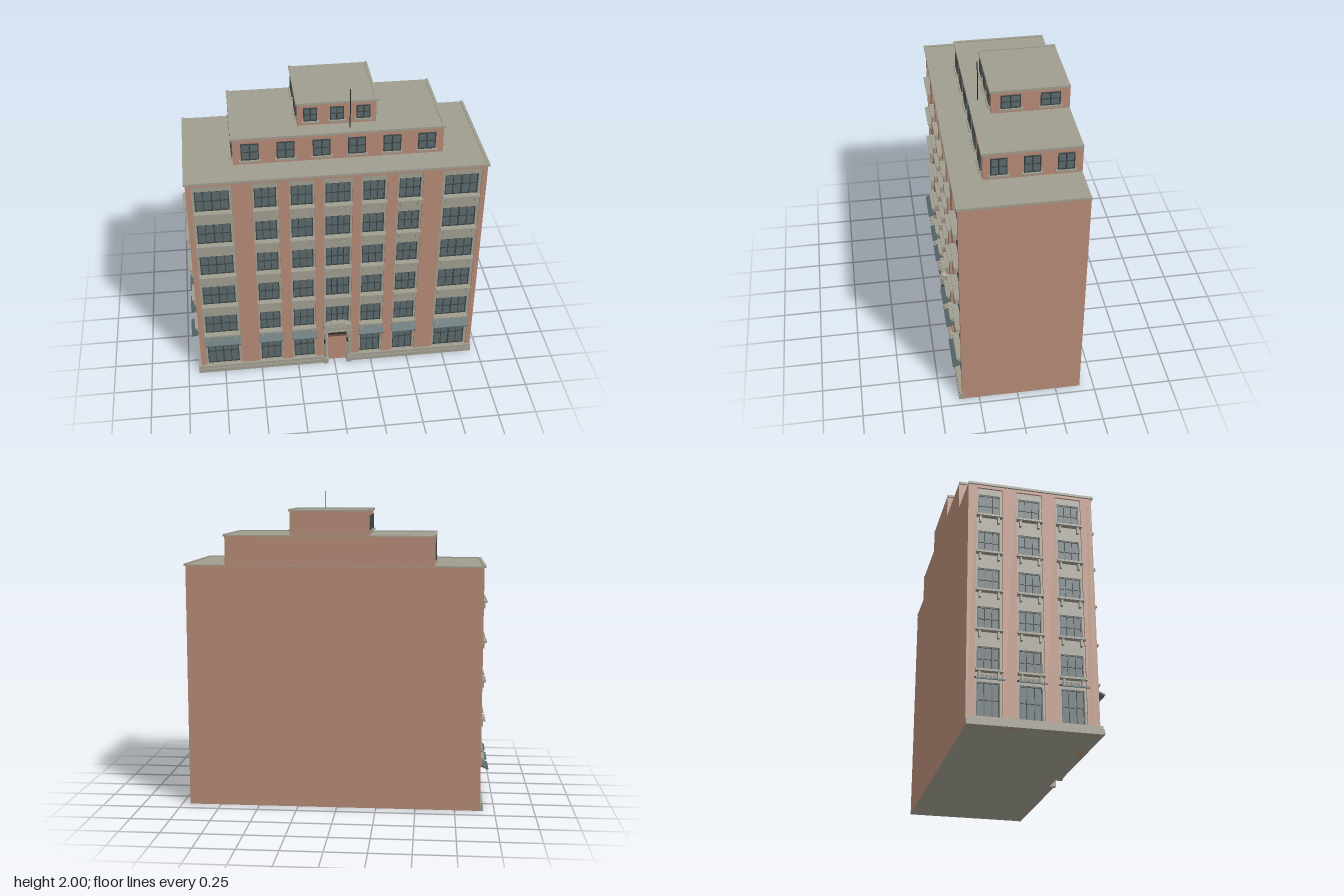
import * as THREE from 'three';

const mat = (name, color) => {
  const m = new THREE.MeshStandardMaterial({ color });
  m.name = name;
  return m;
};

export function createModel() {
  const brick = mat('brick', 0xb48975);
  const stone = mat('stone', 0x9f9c8f);
  const glass = mat('glass', 0x5a686b);
  const frame = mat('window frame', 0x3a4343);
  const awningCloth = mat('awning', 0x56676a);
  const iron = mat('iron', 0x222424);
  const lattice = mat('lattice', 0x6b4a3f);

  const group = (name, parent) => {
    const g = new THREE.Group();
    g.name = name;
    parent.add(g);
    return g;
  };
  const add = (parent, name, geo, material) => {
    const m = new THREE.Mesh(geo, material);
    m.name = name;
    parent.add(m);
    return m;
  };
  // box given by its limits on each axis
  const box = (parent, name, material, x0, x1, y0, y1, z0, z1) => {
    const m = add(parent, name, new THREE.BoxGeometry(x1 - x0, y1 - y0, z1 - z0), material);
    m.position.set((x0 + x1) / 2, (y0 + y1) / 2, (z0 + z1) / 2);
    return m;
  };

  // glazed window with glazing bars; z is the plane it sits on
  function windowUnit(parent, cx, y0, y1, w, z, cols, rows = 2) {
    const g = group('window', parent);
    const x0 = cx - w / 2, x1 = cx + w / 2, t = 0.006;
    box(g, 'pane', glass, x0, x1, y0, y1, z, z + 0.003);
    for (let i = 0; i <= cols; i++) {
      const middle = cols % 2 === 0 && i === cols / 2;
      const b = i === 0 || i === cols ? t : middle ? 0.008 : 0.004;
      const x = Math.min(Math.max(x0 + (w * i) / cols, x0 + b / 2), x1 - b / 2);
      box(g, 'upright bar', frame, x - b / 2, x + b / 2, y0, y1, z, z + 0.009);
    }
    for (let i = 0; i <= rows; i++) {
      const b = i === 0 || i === rows ? t : 0.005;
      const y = Math.min(Math.max(y0 + ((y1 - y0) * i) / rows, y0 + b / 2), y1 - b / 2);
      box(g, 'cross bar', frame, x0, x1, y - b / 2, y + b / 2, z, z + 0.008);
    }
  }

  // row of small carved rings
  const ringGeo = new THREE.TorusGeometry(0.007, 0.003, 5, 10);
  function ringRow(parent, cx, y, w, z) {
    const n = Math.round(w / 0.021);
    for (let i = 0; i < n; i++)
      add(parent, 'carved ring', ringGeo, stone).position.set(cx + (w * (i + 0.5)) / n - w / 2, y, z);
  }

  function sill(parent, cx, y, w, z, out, brackets) {
    box(parent, 'sill', stone, cx - w / 2 - 0.012, cx + w / 2 + 0.012, y - 0.012, y, z, z + out);
    if (brackets)
      for (const s of [-1, 1]) {
        const bx = cx + s * (w / 2 - 0.012);
        box(parent, 'bracket', stone, bx - 0.006, bx + 0.006, y - 0.05, y - 0.012, z, z + out - 0.012);
      }
  }

  // sloped awning from a side profile
  function awning(parent, cx, w) {
    const s = new THREE.Shape([[0.02, 0.29], [0.075, 0.266], [0.075, 0.258], [0.068, 0.258], [0.02, 0.279]]
      .map(([a, b]) => new THREE.Vector2(-a, b)));
    const m = add(parent, 'awning', new THREE.ExtrudeGeometry(s, { depth: w, bevelEnabled: false }), awningCloth);
    m.rotation.y = Math.PI / 2;
    m.position.x = cx - w / 2;
  }

  // facade: local z = 0 is the core face, brick piers stand 0.025 proud
  const floors = [0.33, 0.58, 0.83, 1.08, 1.33];
  const PIER = 0.025, PANEL = 0.015;
  function facade(name, from, to, bays) {
    const g = group(name, model);
    let edge = from;
    for (const { x, strip, win, cols, door } of bays) {
      box(g, 'brick pier', brick, edge, x - strip / 2, 0, 1.54, 0, PIER);
      edge = x + strip / 2;
      // stone bay with window openings
      const s = new THREE.Shape();
      const bottom = door ? 0.3 : 0.02;
      s.moveTo(x - strip / 2, bottom).lineTo(edge, bottom).lineTo(edge, 1.52).lineTo(x - strip / 2, 1.52).closePath();
      const openings = floors.map((y) => [y, y + 0.148]);
      if (!door) openings.push([0.055, 0.262]);
      for (const [y0, y1] of openings) {
        const h = new THREE.Path();
        h.moveTo(x - win / 2, y0).lineTo(x - win / 2, y1).lineTo(x + win / 2, y1).lineTo(x + win / 2, y0).closePath();
        s.holes.push(h);
        windowUnit(g, x, y0, y1, win, 0.001, cols);
      }
      add(g, 'stone bay', new THREE.ExtrudeGeometry(s, { depth: PANEL, bevelEnabled: false }), stone);
      box(g, 'bay head', brick, x - strip / 2, edge, 1.52, 1.54, 0, PIER);
      floors.forEach((y, i) => {
        if (!(door && i === 0)) sill(g, x, y, win, 0.005, 0.045, !door);
        if (door && i > 0) ringRow(g, x, y - 0.042, win - 0.01, PANEL + 0.002);
      });
      if (!door) {
        awning(g, x, win + 0.03);
        ringRow(g, x, 0.302, win, PANEL + 0.002);
      }
    }
    box(g, 'brick pier', brick, edge, to, 0, 1.54, 0, PIER);
    return g;
  }

  const model = new THREE.Group();
  model.name = 'apartment building';
  const CX = 0.02;

  // core block with stone roof and underside
  const core = box(model, 'main block', brick, -0.885, 0.95, 0, 1.54, -0.41, 0.335);
  core.material = [brick, brick, stone, stone, brick, brick];

  // front and side facades
  const bays = [-0.775, -0.45, -0.225, 0, 0.225, 0.45, 0.775].map((d) => {
    const wide = Math.abs(d) > 0.7, door = d === 0;
    return { x: CX + d, door, strip: wide ? 0.245 : door ? 0.18 : 0.158, win: wide ? 0.21 : door ? 0.155 : 0.135, cols: wide || door ? 4 : 3 };
  });
  facade('front facade', -0.91, 0.95, bays).position.z = 0.335;
  const side = facade('side facade', -0.41, 0.335,
    [-0.28, -0.035, 0.21].map((x) => ({ x, strip: 0.158, win: 0.135, cols: 3 })));
  side.position.x = -0.885;
  side.rotation.y = -Math.PI / 2;

  // stepped plinth, open at the doorway
  const plinth = group('plinth', model);
  for (const [y0, y1, o] of [[0, 0.03, 0.02], [0.03, 0.052, 0.014]]) {
    box(plinth, 'front plinth', stone, -0.91 - o, -0.07, y0, y1, 0.335, 0.36 + o);
    box(plinth, 'front plinth', stone, 0.11, 0.953, y0, y1, 0.335, 0.36 + o);
    box(plinth, 'side plinth', stone, -0.91 - o, -0.885, y0, y1, -0.41, 0.335);
  }

  // entrance with twisted columns
  const door = group('entrance', model);
  door.position.set(CX, 0, 0.335);
  box(door, 'door', brick, -0.065, 0.065, 0, 0.22, 0, 0.012);
  box(door, 'transom backing', lattice, -0.065, 0.065, 0.22, 0.28, 0, 0.012);
  for (let i = -4; i <= 4; i++)
    for (const s of [-1, 1]) {
      const bar = box(door, 'lattice bar', iron, -0.002, 0.002, -0.032, 0.032, 0.012, 0.016);
      bar.position.x = i * 0.013;
      bar.position.y = 0.25;
      bar.rotation.z = s * 0.5;
    }
  box(door, 'lintel', lattice, -0.065, 0.065, 0.217, 0.224, 0.01, 0.022);
  for (const s of [-1, 1]) {
    const c = s * 0.08;
    box(door, 'jamb', stone, c - 0.016, c + 0.016, 0, 0.29, 0, 0.028);
    box(door, 'column foot', stone, c - 0.017, c + 0.017, 0, 0.045, 0.02, 0.055);
    box(door, 'column cap', stone, c - 0.017, c + 0.017, 0.27, 0.29, 0.02, 0.055);
    add(door, 'column', new THREE.CylinderGeometry(0.009, 0.009, 0.23, 10), stone).position.set(c, 0.158, 0.037);
    const helix = Array.from({ length: 41 }, (_, i) => {
      const a = s * i * 0.75;
      return new THREE.Vector3(c + 0.009 * Math.cos(a), 0.045 + 0.0056 * i, 0.037 + 0.009 * Math.sin(a));
    });
    add(door, 'column twist', new THREE.TubeGeometry(new THREE.CatmullRomCurve3(helix), 80, 0.004, 5), stone);
    box(door, 'lamp', iron, c - 0.017 - s * 0.002, c - 0.009 - s * 0.002, 0.19, 0.215, 0.04, 0.058);
  }
  const hood = new THREE.Shape();
  hood.moveTo(-0.097, 0.285).lineTo(0.097, 0.285).lineTo(0.097, 0.315).quadraticCurveTo(0.094, 0.338, 0.07, 0.338)
    .lineTo(-0.07, 0.338).quadraticCurveTo(-0.094, 0.338, -0.097, 0.315).closePath();
  add(door, 'entrance hood', new THREE.ExtrudeGeometry(hood, { depth: 0.05, bevelEnabled: false }), stone);
  box(door, 'hood moulding', stone, -0.098, 0.098, 0.284, 0.292, 0, 0.058);
  box(door, 'hood panel', stone, -0.065, 0.065, 0.312, 0.326, 0.05, 0.056);
  box(door, 'hood crest', stone, -0.05, 0.05, 0.338, 0.348, 0, 0.045);

  // overhanging roof with a low rim
  function roof(name, x0, x1, y, z1) {
    const g = group(name, model);
    const o = 0.01;
    box(g, 'roof slab', stone, x0 - o, x1 + o, y - 0.012, y - 0.003, -0.41, z1 + o);
    box(g, 'front rim', stone, x0 - o, x1 + o, y - 0.003, y + 0.003, z1 - 0.008, z1 + o);
    box(g, 'side rim', stone, x0 - o, x0 + 0.008, y - 0.003, y + 0.003, -0.41, z1 - 0.008);
    box(g, 'side rim', stone, x1 - 0.008, x1 + o, y - 0.003, y + 0.003, -0.41, z1 - 0.008);
  }
  roof('main roof', -0.91, 0.95, 1.55, 0.36);

  // set-back upper storeys
  function storey(name, x0, x1, y0, y1, z1, wy0, wy1, front, frontW, sides, sideW) {
    const g = group(name, model);
    box(g, 'storey walls', brick, x0, x1, y0, y1 - 0.01, -0.41, z1);
    const faces = [[front, frontW, 0, 0, z1], [sides, sideW, -Math.PI / 2, x0, 0], [sides.map((v) => -v), sideW, Math.PI / 2, x1, 0]];
    for (const [centres, w, turn, px, pz] of faces) {
      const f = group('window row', g);
      f.rotation.y = turn;
      f.position.set(px, 0, pz);
      for (const c of centres) {
        windowUnit(f, c, wy0, wy1, w, 0, 2);
        sill(f, c, wy0, w, 0, 0.018, false);
      }
    }
    roof(name + ' roof', x0, x1, y1, z1);
  }
  storey('lower penthouse', -0.61, 0.7, 1.54, 1.735, 0.182, 1.58, 1.695,
    [-0.505, -0.285, -0.062, 0.157, 0.377, 0.595], 0.11, [0.087, -0.11, -0.31], 0.1);
  storey('upper penthouse', -0.2, 0.29, 1.725, 1.89, 0.072, 1.765, 1.855,
    [-0.12, 0.045, 0.21], 0.085, [-0.047, -0.29], 0.122);

  // mast on the lower penthouse
  add(model, 'mast', new THREE.CylinderGeometry(0.003, 0.003, 0.27, 8), iron).position.set(0.12, 1.865, 0.13);

  return model;
}
